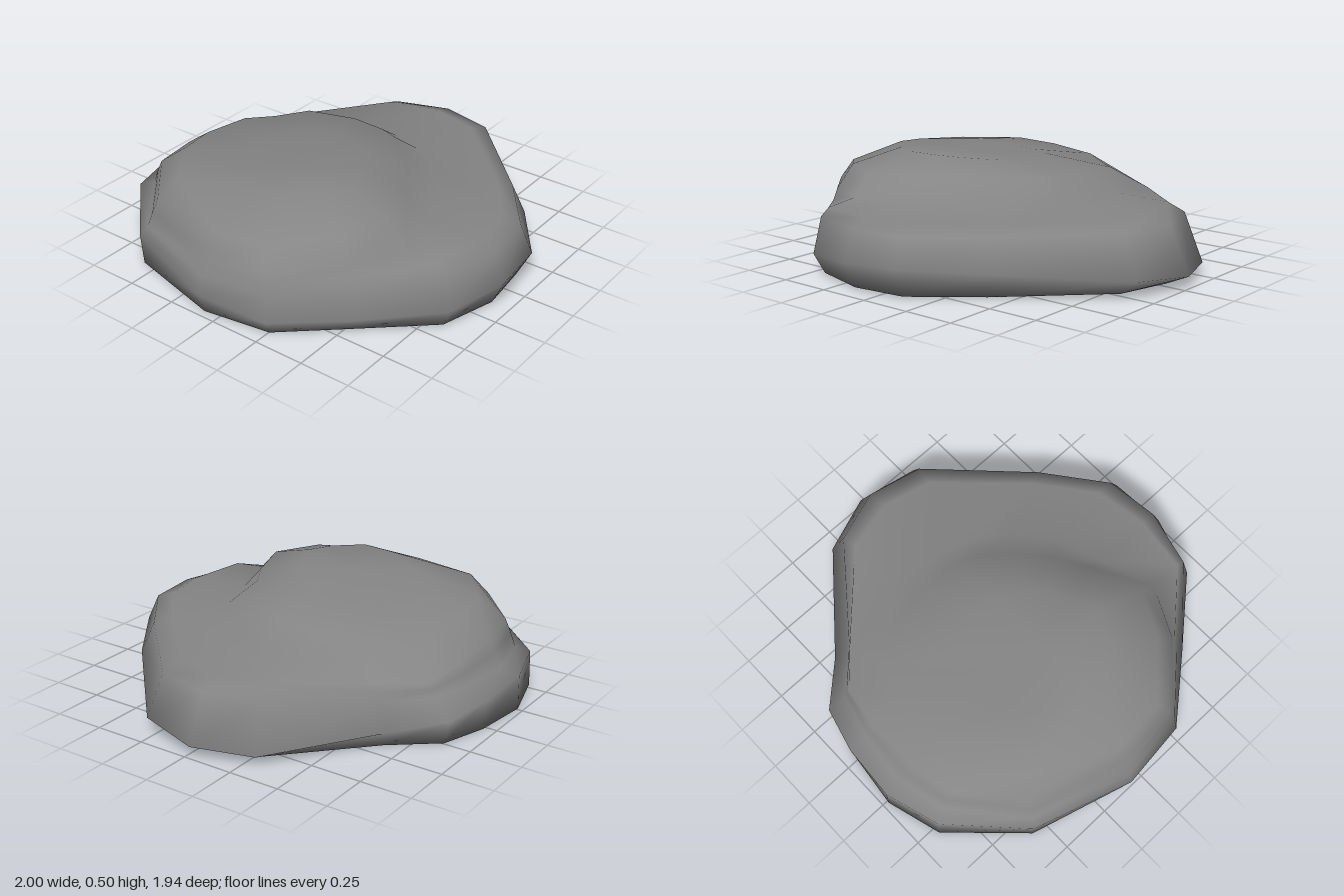
import * as THREE from 'three';

// Outline of the slab as [x, z], running back -> left side -> front -> right side
const outline = [
  [-0.26, -0.97], [0.02, -0.95], [0.25, -0.89], [0.44, -0.69],
  [0.9, -0.31], [1, -0.03], [0.93, 0.27], [0.45, 0.72],
  [0.13, 0.95], [-0.15, 0.97], [-0.44, 0.88], [-0.71, 0.57],
  [-0.96, 0.27], [-1, -0.08], [-0.85, -0.58], [-0.53, -0.89],
];
// Foot of the raised hump, [x, z, y]
const humpFoot = [
  [-0.25, -0.81, 0.32], [0.02, -0.81, 0.29], [0.22, -0.77, 0.26], [0.39, -0.61, 0.28],
  [0.44, -0.25, 0.325], [0.42, -0.02, 0.325], [0.37, 0.14, 0.325], [0.25, 0.32, 0.325],
  [0.08, 0.46, 0.325], [-0.15, 0.54, 0.325], [-0.42, 0.63, 0.33], [-0.66, 0.51, 0.32],
  [-0.91, 0.24, 0.3], [-0.92, -0.07, 0.3], [-0.77, -0.53, 0.32], [-0.49, -0.77, 0.33],
];
// Shoulder of the hump, [x, z, y]
const humpShoulder = [
  [-0.25, -0.68, 0.415], [0, -0.66, 0.395], [0.14, -0.58, 0.375], [0.27, -0.46, 0.39],
  [0.31, -0.2, 0.41], [0.3, -0.02, 0.41], [0.25, 0.1, 0.42], [0.12, 0.24, 0.43],
  [-0.02, 0.36, 0.43], [-0.17, 0.45, 0.43], [-0.42, 0.54, 0.43], [-0.64, 0.42, 0.43],
  [-0.86, 0.2, 0.39], [-0.88, -0.06, 0.38], [-0.7, -0.46, 0.43], [-0.45, -0.64, 0.43],
];
const crown = [-0.3, 0];
const crownY = (x, z) => 0.48 + 0.075 * z - 0.04 * (x + 0.3);
const mix = (a, b, t) => a + (b - a) * t;

// Cross-section rings from the underside up to the crown
function buildRings() {
  const rings = [[], [], [], [], [], [], []];
  outline.forEach(([x, z], i) => {
    const [fx, fz, fy] = humpFoot[i];
    const [sx, sz, sy] = humpShoulder[i];
    const steep = Math.hypot(fx, fz) / Math.hypot(x, z) > 0.78; // no ledge here
    const under = 0.925 - 0.04 * x - 0.03 * z + 0.04 * z * z;
    const rim = 0.94 - 0.04 * x - (steep ? 0.04 * z * z : 0);
    const rimY = steep ? 0.2 : 0.28;
    const ledge = steep ? 0.5 : 0.22;
    const tx = mix(sx, crown[0], 0.45), tz = mix(sz, crown[1], 0.45);
    rings[0].push([x * under, 0.006 + 0.006 * z, z * under]);
    rings[1].push([x, 0.1 + 0.05 * z * z - 0.04 * Math.max(x, 0) + 0.08 * x * z, z]);
    rings[2].push([x * rim, rimY, z * rim]);
    rings[3].push([
      mix(x * rim, fx, ledge), steep ? mix(rimY, fy, 0.55) : 0.313, mix(z * rim, fz, ledge),
    ]);
    rings[4].push([fx, fy, fz]);
    rings[5].push([sx, sy, sz]);
    rings[6].push([tx, crownY(tx, tz), tz]);
  });
  return rings;
}

function rockGeometry() {
  const rings = buildRings();
  const n = outline.length;
  const points = rings.flat();
  const bottom = points.push([0, 0.003, 0]) - 1;
  const top = points.push([crown[0], crownY(...crown), crown[1]]) - 1;
  const index = [];
  const last = (rings.length - 1) * n;
  for (let i = 0; i < n; i++) {
    const j = (i + 1) % n;
    for (let r = 0; r < last; r += n) {
      index.push(r + i, r + n + i, r + j, r + j, r + n + i, r + n + j);
    }
    index.push(bottom, i, j, top, last + j, last + i); // caps
  }
  const geometry = new THREE.BufferGeometry();
  geometry.setAttribute('position', new THREE.Float32BufferAttribute(points.flat(), 3));
  geometry.setIndex(index);
  geometry.computeVertexNormals();
  return geometry;
}

export function createModel() {
  const group = new THREE.Group();
  group.name = 'boulder';
  const rock = new THREE.Mesh(rockGeometry(), new THREE.MeshStandardMaterial({ color: 0x858585 }));
  rock.name = 'rock';
  group.add(rock);
  return group;
}
